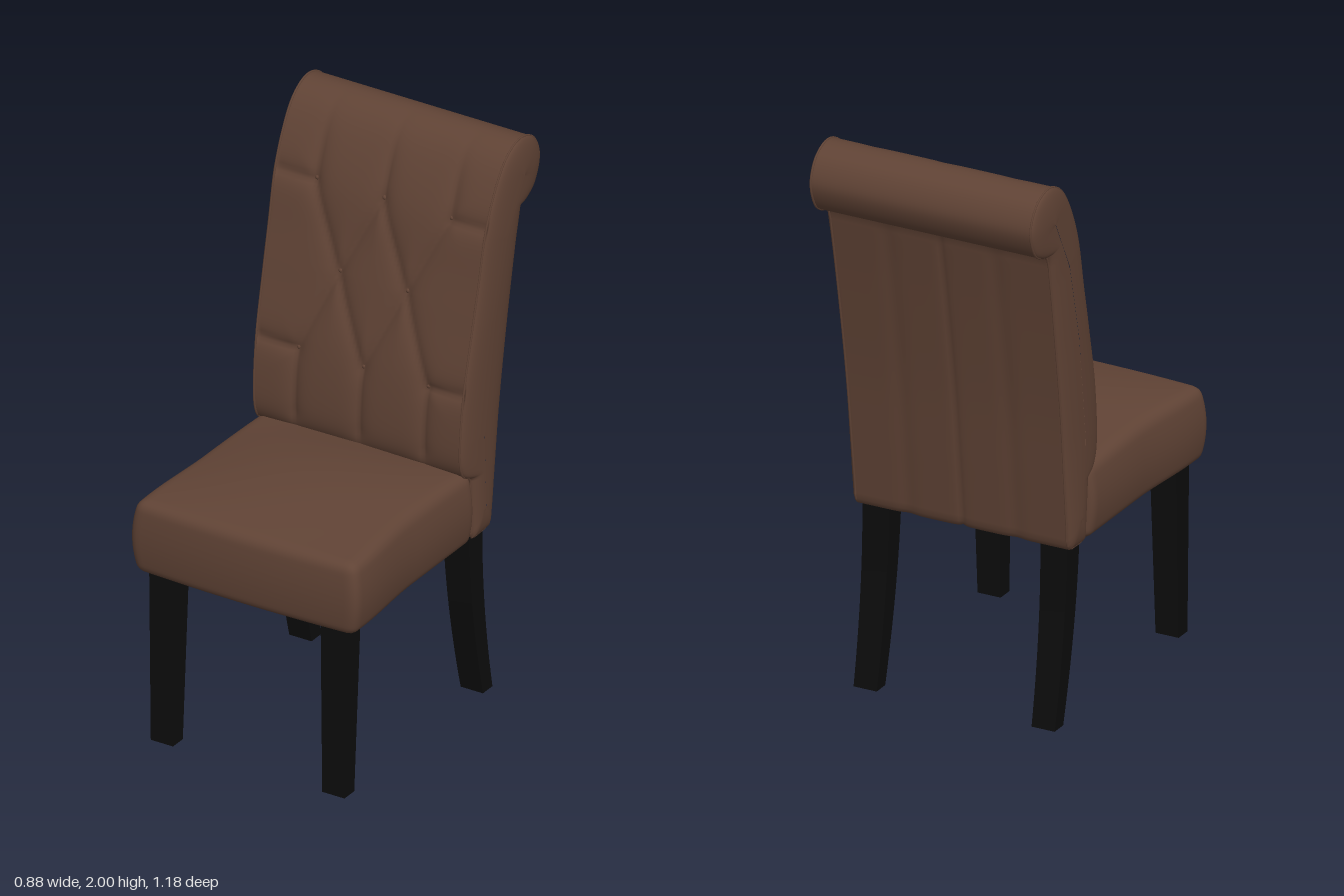
import * as THREE from 'three';
import { mergeVertices } from 'three/addons/utils/BufferGeometryUtils.js';

const { smoothstep, lerp, clamp } = THREE.MathUtils;
const V2 = (p) => new THREE.Vector2(p[0], p[1]);

// Side outline of the backrest as (z, y): up the front, over the roll, down the back
const FRONT = [[-0.188, 0.86], [-0.14, 0.89], [-0.122, 0.98], [-0.14, 1.18], [-0.188, 1.4], [-0.225, 1.56],
  [-0.265, 1.74], [-0.325, 1.88], [-0.39, 1.965], [-0.47, 1.998], [-0.55, 1.967], [-0.588, 1.885],
  [-0.56, 1.8], [-0.51, 1.763], [-0.465, 1.755]].map(V2);
const REAR = [[-0.458, 1.71], [-0.42, 1.5], [-0.365, 1.15], [-0.33, 0.85], [-0.308, 0.65]].map(V2);
// Middle line of the backrest, used to close its padded sides
const SPINE = [[-0.25, 0.73], [-0.235, 1.0], [-0.29, 1.4], [-0.36, 1.68], [-0.46, 1.87]].map(V2);

function backProfile() {
  const line = (a, b, n) => new THREE.LineCurve(V2(a), V2(b)).getSpacedPoints(n);
  return [
    ...line([-0.2, 0.632], [-0.188, 0.85], 10),
    ...new THREE.SplineCurve(FRONT).getSpacedPoints(120),
    ...new THREE.SplineCurve(REAR).getSpacedPoints(50),
    ...line([-0.298, 0.632], [-0.21, 0.628], 6),
  ];
}

// Tufting: buttons and the creases that join them, as (x, y)
const BUTTONS = [[-0.26, 1.74], [0, 1.74], [0.26, 1.74], [-0.13, 1.46], [0.13, 1.46],
  [-0.25, 1.17], [0, 1.17], [0.25, 1.17]];
const CREASES = [[0, 3], [3, 1], [1, 4], [4, 2], [3, 5], [3, 6], [4, 6], [4, 7]]
  .map(([a, b]) => [BUTTONS[a], BUTTONS[b]]);
for (const x of [-0.26, 0, 0.26]) {
  CREASES.push([[x, 1.74], [x, 1.97]], [[x * 0.96, 1.17], [x * 0.96, 0.88]]);
}
for (const s of [-1, 1]) {
  CREASES.push([[s * 0.26, 1.74], [s * 0.4, 1.745]], [[s * 0.25, 1.17], [s * 0.4, 1.18]]);
}

function segmentClosest(p, a, b) {
  const d = b.clone().sub(a);
  return a.clone().addScaledVector(d, clamp(p.clone().sub(a).dot(d) / d.lengthSq(), 0, 1));
}
const creaseLines = CREASES.map(([a, b]) => [V2(a), V2(b)]);

function tuftDepth(x, y) {
  const p = new THREE.Vector2(x, y);
  const near = Math.min(...creaseLines.map(([a, b]) => segmentClosest(p, a, b).distanceTo(p)));
  const button = Math.min(...BUTTONS.map((b) => V2(b).distanceTo(p)));
  const fade = smoothstep(y, 0.87, 0.95) * (1 - 0.85 * smoothstep(y, 1.8, 1.98));
  return fade * (0.018 * Math.exp(-near / 0.025) + 0.012 * Math.exp(-button / 0.03));
}

function spineClosest(p) {
  let best = SPINE[0];
  for (let i = 1; i < SPINE.length; i++) {
    const q = segmentClosest(p, SPINE[i - 1], SPINE[i]);
    if (q.distanceTo(p) < best.distanceTo(p)) best = q;
  }
  return best;
}

const halfWidth = (y) => 0.385 + 0.0125 * y;

// Upholstered backrest: a grid of outline points by columns, ending in padded sides
function backrestGeometry(profile) {
  const columns = [];
  const SIDE = 10, MID = 70;
  for (let k = 0; k < SIDE; k++) columns.push([-1, 1 - k / SIDE]);
  for (let k = 0; k <= MID; k++) columns.push([(2 * k) / MID - 1, 0]);
  for (let k = 1; k <= SIDE; k++) columns.push([1, k / SIDE]);

  const n = profile.length, m = columns.length, positions = [], index = [];
  profile.forEach((p, i) => {
    const t = profile[(i + 1) % n].clone().sub(profile[(i + n - 1) % n]).normalize();
    const normal = new THREE.Vector2(t.y, -t.x);
    const middle = spineClosest(p);
    for (const [u, inset] of columns) {
      const s = inset * inset;
      const x = u * (halfWidth(p.y) + 0.025 * Math.sqrt(1 - (1 - s) ** 2));
      const q = p.clone().lerp(middle, s);
      if (inset === 0) {
        const isFront = normal.x > 0 && p.y > 0.87;
        const isRear = normal.x < 0 && p.y < 1.72;
        if (isFront) q.addScaledVector(normal, -tuftDepth(x, p.y) * smoothstep(normal.x, 0, 0.3));
        if (isRear) q.addScaledVector(normal, -0.007 * Math.exp(-Math.abs(x) / 0.012)
          - 0.004 * Math.exp(-(((Math.abs(x) - 0.2) / 0.03) ** 2)));
      }
      positions.push(x, q.y, q.x);
    }
    for (let j = 0; j < m - 1; j++) {
      const a = i * m + j, d = ((i + 1) % n) * m + j;
      index.push(a, a + 1, d + 1, a, d + 1, d);
    }
  });
  const g = new THREE.BufferGeometry();
  g.setAttribute('position', new THREE.Float32BufferAttribute(positions, 3));
  g.setIndex(index);
  g.computeVertexNormals();
  return g;
}

// Seat cushion: rounded box, flared to the front, with padded sides and a crowned top
function seatGeometry() {
  const h = new THREE.Vector3(0.4, 0.132, 0.375), r = 0.03;
  const box = new THREE.BoxGeometry(h.x * 2, h.y * 2, h.z * 2, 56, 24, 56);
  box.deleteAttribute('uv');
  box.deleteAttribute('normal');
  const g = mergeVertices(box, 1e-5);
  const pos = g.attributes.position, p = new THREE.Vector3();
  const inner = h.clone().subScalar(r), low = inner.clone().negate();
  for (let i = 0; i < pos.count; i++) {
    p.fromBufferAttribute(pos, i);
    const core = p.clone().clamp(low, inner);
    p.sub(core);
    if (p.length() > 0) p.setLength(r);
    p.add(core);
    const a = p.x / h.x, b = p.y / h.y, c = p.z / h.z;
    const puff = 1 - b * b;
    const flare = 0.4 + 0.02 * smoothstep(p.z, -0.02, 0.32);
    const crown = b > 0 ? b * (1 - a * a) * (1 - c * c) * 0.045 + 0.008 * b * (1 - c * c) : 0;
    pos.setXYZ(i,
      a * (flare + 0.02 * puff),
      p.y + 0.752 + crown,
      p.z + 0.19 + (c > 0 ? c * (0.012 * puff + 0.014 * (1 - a * a)) : 0));
  }
  g.computeVertexNormals();
  return g;
}

// Tapered square leg; zAt gives the middle of the leg at height t (0 foot, 1 top)
function legGeometry(top, foot, zAt) {
  const H = 0.66;
  const g = new THREE.BoxGeometry(1, 1, 1, 1, 14, 1);
  const pos = g.attributes.position;
  for (let i = 0; i < pos.count; i++) {
    const t = pos.getY(i) + 0.5;
    pos.setXYZ(i, pos.getX(i) * lerp(foot[0], top[0], t), t * H,
      pos.getZ(i) * lerp(foot[1], top[1], t) + zAt(t));
  }
  g.computeVertexNormals();
  return g;
}

export function createModel() {
  const leather = new THREE.MeshStandardMaterial({ color: 0x604335 });
  leather.name = 'brown leather';
  const wood = new THREE.MeshStandardMaterial({ color: 0x0c0c0c });
  wood.name = 'black wood';

  const model = new THREE.Group();
  model.name = 'diningChair';
  const add = (name, geometry, material) => {
    const mesh = new THREE.Mesh(geometry, material);
    mesh.name = name;
    model.add(mesh);
    return mesh;
  };

  const profile = backProfile();
  add('backrest', backrestGeometry(profile), leather);
  add('seat', seatGeometry(), leather);

  // Piping along both edges of the backrest
  for (const [side, s] of [['left', 1], ['right', -1]]) {
    const path = profile.filter((p, i) => i % 2 === 0)
      .map((p) => new THREE.Vector3(s * halfWidth(p.y), p.y, p.x));
    const curve = new THREE.CatmullRomCurve3(path, true);
    add(side + 'Piping', new THREE.TubeGeometry(curve, 160, 0.004, 6, true), leather);
  }

  // Buttons sunk into the tufting
  const front = new THREE.SplineCurve(FRONT.slice(0, 9)).getSpacedPoints(200);
  const buttonGeometry = new THREE.SphereGeometry(0.009, 12, 8);
  for (const [x, y] of BUTTONS) {
    const z = front.reduce((a, b) => (Math.abs(b.y - y) < Math.abs(a.y - y) ? b : a)).x;
    add('button', buttonGeometry, leather).position.set(x, y, z - 0.03);
  }

  // Straight front legs and swept rear legs
  const frontLeg = legGeometry([0.1, 0.088], [0.086, 0.06], (t) => lerp(0.515, 0.5, t));
  const rearLeg = legGeometry([0.1, 0.085], [0.086, 0.058], (t) => -0.245 - 0.085 * (1 - t) ** 1.8);
  for (const [side, x] of [['Left', 0.331], ['Right', -0.331]]) {
    add('front' + side + 'Leg', frontLeg, wood).position.x = x;
    add('rear' + side + 'Leg', rearLeg, wood).position.x = x;
  }
  return model;
}
